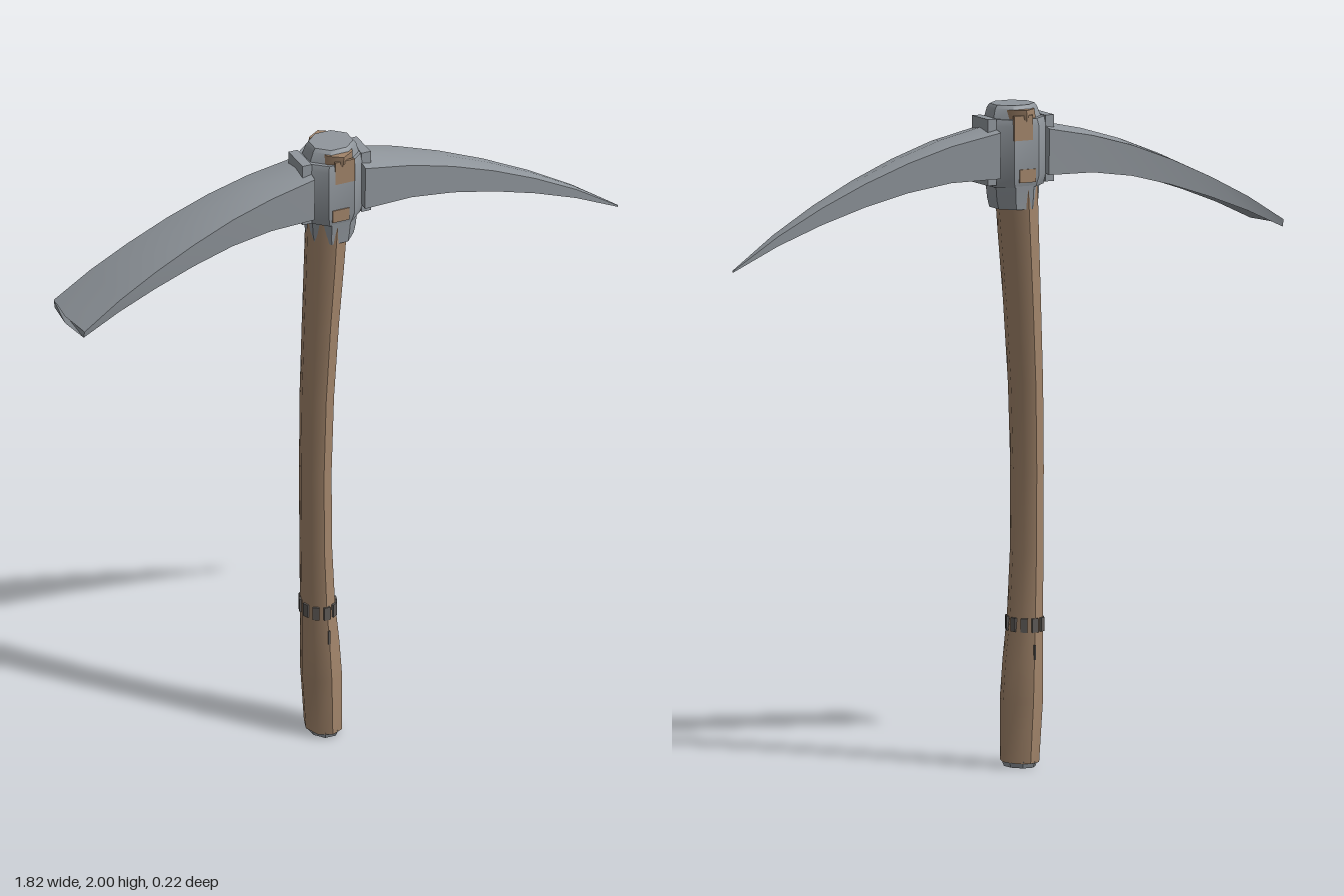
import * as THREE from 'three';
import { toCreasedNormals } from 'three/addons/utils/BufferGeometryUtils.js';

const steel = new THREE.MeshStandardMaterial({ color: 0x90969c });
steel.name = 'steel';
const wood = new THREE.MeshStandardMaterial({ color: 0xa1846a });
wood.name = 'wood';
const dark = new THREE.MeshStandardMaterial({ color: 0x5e5a57 });
dark.name = 'dark binding';

// Skins a list of equal-length rings and closes both ends.
function loft(rings, crease) {
  const n = rings[0].length;
  const index = [];
  for (let i = 0; i < rings.length - 1; i++) {
    for (let j = 0; j < n; j++) {
      const a = i * n + j, b = i * n + (j + 1) % n;
      index.push(a, b, b + n, a, b + n, a + n);
    }
  }
  const last = (rings.length - 1) * n;
  for (let j = 1; j < n - 1; j++) {
    index.push(0, j + 1, j, last, last + j, last + j + 1);
  }
  const g = new THREE.BufferGeometry();
  g.setAttribute('position', new THREE.Float32BufferAttribute(rings.flat(2), 3));
  g.setIndex(index);
  return toCreasedNormals(g, crease);
}

// Upright form from rows of [y, centre x, x radius, z radius].
function column(rows, sides, turn, crease) {
  return loft(rows.map(([y, cx, rx, rz]) => Array.from({ length: sides }, (_, j) => {
    const t = (j + turn) / sides * Math.PI * 2;
    return [cx + Math.sin(t) * rx, y, Math.cos(t) * rz];
  })), crease);
}

// Curved blade from rows of [x, top y, bottom y, half width, ridge x offset].
function blade(rows, dir) {
  return loft(rows.map(([x, top, bottom, w, bulge = 0]) => {
    const h = top - bottom;
    const ring = [
      [x + bulge, top, 0], [x, top - h * 0.1, w], [x, bottom, w * 0.94],
      [x + bulge, bottom + h * 0.08, 0], [x, bottom, -w * 0.94], [x, top - h * 0.1, -w],
    ];
    return dir > 0 ? ring : ring.reverse();
  }), 0.45);
}

export function createModel() {
  const group = new THREE.Group();
  const add = (name, geometry, material) => {
    const mesh = new THREE.Mesh(geometry, material);
    mesh.name = name;
    group.add(mesh);
    return mesh;
  };

  // Bowed wooden handle with a swelling grip
  add('handle', column([
    [0.015, -0.064, 0.056, 0.07], [0.2, -0.07, 0.062, 0.077],
    [0.32, -0.075, 0.058, 0.073], [0.45, -0.082, 0.051, 0.066],
    [0.65, -0.088, 0.047, 0.062], [0.9, -0.089, 0.047, 0.062],
    [1.15, -0.084, 0.049, 0.066], [1.4, -0.072, 0.053, 0.071],
    [1.6, -0.06, 0.058, 0.076], [1.75, -0.052, 0.062, 0.078],
    [1.93, -0.043, 0.062, 0.08], [1.965, -0.04, 0.06, 0.093], [1.988, -0.038, 0.058, 0.093],
  ], 8, 0, 0.8), wood);

  // Metal caps at both ends
  add('bottomCap', column([[0, -0.064, 0.045, 0.058], [0.02, -0.064, 0.052, 0.066]], 8, 0.5, 0.6), steel);
  add('topCap', column([
    [1.955, -0.04, 0.088, 0.078], [1.99, -0.038, 0.076, 0.07], [2, -0.038, 0.068, 0.062],
  ], 8, 0.5, 0.6), steel);

  // Dark binding marks around the top of the grip
  const mark = new THREE.BoxGeometry(0.02, 0.042, 0.008);
  for (let i = 0; i < 10; i++) {
    const t = i / 10 * Math.PI * 2;
    const m = add('bindingMark', mark, dark);
    m.position.set(-0.081 + Math.sin(t) * 0.05, 0.43, Math.cos(t) * 0.065);
    m.rotation.y = t;
  }
  for (const s of [1, -1]) {
    add('bindingStitch', new THREE.BoxGeometry(0.006, 0.045, 0.008), dark)
      .position.set(-0.077, 0.35, s * 0.07);
  }

  // Eye of the head, and the narrower socket below it
  const k = 1 / Math.cos(Math.PI / 8);
  add('collar', column([
    [1.755, -0.042, 0.085 * k, 0.078 * k], [1.785, -0.042, 0.1 * k, 0.085 * k],
    [1.94, -0.042, 0.1 * k, 0.085 * k], [1.96, -0.042, 0.092 * k, 0.08 * k],
  ], 8, 0.5, 0.6), steel);
  add('socket', column([
    [1.687, -0.042, 0.07, 0.079], [1.715, -0.041, 0.076, 0.081], [1.765, -0.04, 0.08, 0.086],
  ], 8, 0.5, 0.6), steel);

  // Flanges where the blades meet the eye
  for (const s of [1, -1]) {
    add('flange', new THREE.BoxGeometry(0.03, 0.2, 0.1), steel)
      .position.set(-0.042 + s * 0.097, 1.863, 0);
  }

  // Wood showing through the eye, front and back
  for (const s of [1, -1]) {
    add('upperWoodInset', new THREE.BoxGeometry(0.064, 0.075, 0.008), wood)
      .position.set(-0.031, 1.935, s * 0.084);
    add('lowerWoodInset', new THREE.BoxGeometry(0.054, 0.04, 0.008), wood)
      .position.set(-0.045, 1.79, s * 0.084);
  }

  // Pointed blade
  add('pickBlade', blade([
    [0.04, 1.94, 1.785, 0.078], [0.2, 1.905, 1.782, 0.066], [0.34, 1.86, 1.76, 0.054],
    [0.48, 1.804, 1.725, 0.042], [0.62, 1.737, 1.68, 0.03], [0.76, 1.658, 1.625, 0.017],
    [0.905, 1.559, 1.554, 0.003],
  ], 1), steel);

  // Broad flaring blade
  add('adzeBlade', blade([
    [-0.125, 1.94, 1.785, 0.076], [-0.27, 1.908, 1.784, 0.083], [-0.4, 1.868, 1.765, 0.088],
    [-0.53, 1.815, 1.73, 0.094], [-0.66, 1.752, 1.685, 0.099], [-0.78, 1.685, 1.637, 0.104],
    [-0.898, 1.605, 1.58, 0.109, -0.014],
  ], -1), steel);

  return group;
}
